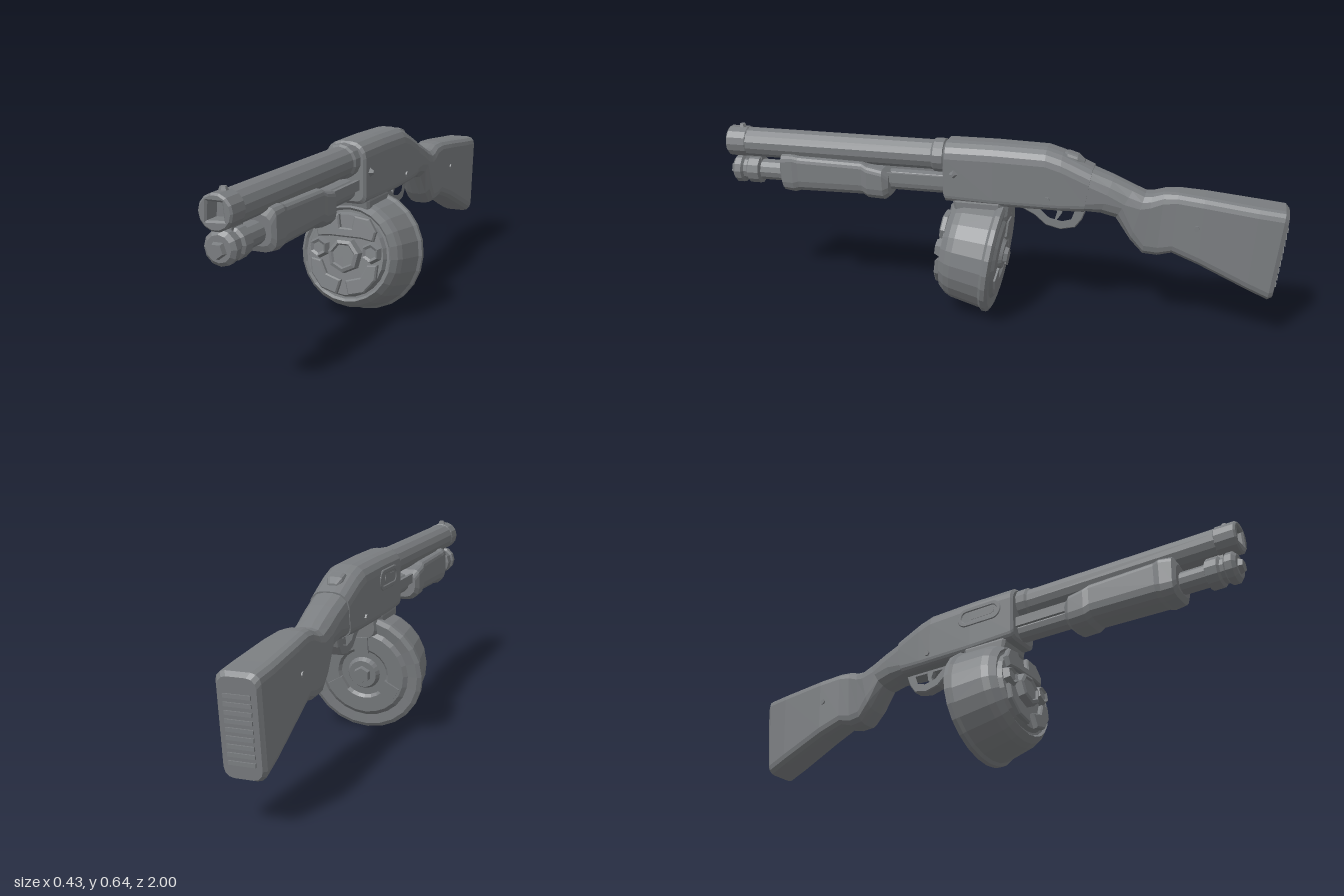
import * as THREE from 'three';

const mat = new THREE.MeshStandardMaterial({ color: 0x7a7d80, flatShading: true });

function add(parent, name, geo, x = 0, y = 0, z = 0) {
  const m = new THREE.Mesh(geo, mat);
  m.name = name;
  m.position.set(x, y, z);
  parent.add(m);
  return m;
}

// Skin of rounded-box sections, front to back: [zTop, yTop, zBottom, yBottom, halfWidth, topRadius, bottomRadius]
function loft(sections, steps = 3) {
  const pos = [], idx = [], n = 4 * (steps + 1);
  for (const [zt, yt, zb, yb, hw, rt, rb] of sections) {
    for (let c = 0; c < 4; c++) {
      const r = Math.min(c < 2 ? rt : rb, hw * 0.95, (yt - yb) * 0.48);
      const cx = (c === 0 || c === 3 ? 1 : -1) * (hw - r);
      const cy = c < 2 ? yt - r : yb + r;
      for (let k = 0; k <= steps; k++) {
        const a = (c + k / steps) * Math.PI / 2;
        const y = cy + r * Math.sin(a);
        pos.push(cx + r * Math.cos(a), y, zb + (zt - zb) * (y - yb) / (yt - yb));
      }
    }
  }
  const last = (sections.length - 1) * n;
  for (let i = 0; i < last; i += n)
    for (let j = 0; j < n; j++) {
      const a = i + j, b = i + (j + 1) % n;
      idx.push(a, a + n, b, b, a + n, b + n);
    }
  for (let j = 1; j < n - 1; j++) idx.push(0, j, j + 1, last, last + j + 1, last + j);
  const g = new THREE.BufferGeometry();
  g.setAttribute('position', new THREE.Float32BufferAttribute(pos, 3));
  g.setIndex(idx);
  g.computeVertexNormals();
  return g;
}

// Turned part along z, profile of [radius, z] from back to front
const turned = (profile, sides = 14) =>
  new THREE.LatheGeometry(profile.map(p => new THREE.Vector2(...p)), sides).rotateX(Math.PI / 2);

const toPath = (pts, Type = THREE.Shape) => new Type(pts.map(p => new THREE.Vector2(...p)));

function extrude(shape, depth, bevel = 0) {
  return new THREE.ExtrudeGeometry(shape, {
    depth, bevelEnabled: bevel > 0, bevelSize: bevel, bevelThickness: bevel, bevelSegments: 1, curveSegments: 7,
  });
}

// Plate drawn in (z, y), thickness centred on x
const sidePlate = (shape, width, bevel = 0) =>
  extrude(shape, width, bevel).translate(0, 0, -width / 2).rotateY(-Math.PI / 2);

function stadium(Type, z0, z1, y, r) {
  const s = new Type();
  s.absarc(z1 - r, y, r, -Math.PI / 2, Math.PI / 2, false);
  s.absarc(z0 + r, y, r, Math.PI / 2, Math.PI * 1.5, false);
  s.closePath();
  return s;
}

function buildDrum() {
  const drum = new THREE.Group();
  drum.name = 'drumMagazine';
  drum.position.set(0, 0.208, -0.015);
  drum.rotation.x = -0.14;
  add(drum, 'drumBody', turned([
    [0, -0.012], [0.05, -0.012], [0.06, 0.004], [0.085, 0.004], [0.095, -0.006], [0.15, -0.006], [0.165, 0.004],
    [0.2, 0], [0.215, 0.008], [0.215, 0.024], [0.206, 0.034], [0.191, 0.145], [0.182, 0.168], [0.164, 0.19],
    [0.156, 0.182], [0.148, 0.182], [0.14, 0.197], [0, 0.197]], 24));
  // Raised relief on the front face
  add(drum, 'frontHub', turned([[0.064, 0.195], [0.058, 0.222], [0.046, 0.226], [0.04, 0.219], [0, 0.219]], 7));
  add(drum, 'topRelief', extrude(toPath([
    [-0.06, 0.068], [0.06, 0.068], [0.1, 0.062], [0.107, 0.09], [0.082, 0.128], [0.034, 0.134], [0.026, 0.09],
    [-0.026, 0.09], [-0.034, 0.134], [-0.082, 0.128], [-0.107, 0.09], [-0.1, 0.062]]), 0.014, 0.005), 0, 0, 0.195);
  const half = [[0.014, -0.09], [0.026, -0.132], [0.078, -0.118], [0.116, -0.072], [0.12, -0.025],
    [0.09, -0.03], [0.068, -0.074]];
  for (const s of [-1, 1]) {
    const knob = turned([[0.042, 0.192], [0.03, 0.219], [0.02, 0.213], [0, 0.213]], 6);
    add(drum, 'sideKnob', knob, s * 0.098, 0.018, 0);
    const pts = half.map(([x, y]) => [s * x, y]);
    add(drum, 'lowerRelief', extrude(toPath(pts), 0.014, 0.005), 0, 0, 0.195);
  }
  // Hub and three short ribs on the back face
  add(drum, 'backHub', new THREE.CylinderGeometry(0.034, 0.028, 0.02, 6).rotateX(Math.PI / 2), 0, 0, -0.016);
  for (let i = 0; i < 3; i++) {
    const a = Math.PI / 2 + i * Math.PI * 2 / 3;
    add(drum, 'backRib', new THREE.BoxGeometry(0.06, 0.05, 0.016), 0.11 * Math.cos(a), 0.11 * Math.sin(a), -0.005)
      .rotation.z = a;
  }
  return drum;
}

export function createModel() {
  const model = new THREE.Group();
  model.name = 'shotgun';

  // Barrel with collar, square-bored muzzle and low bead
  add(model, 'barrel', turned([
    [0.05, 0.15], [0.05, 0.18], [0.06, 0.185], [0.06, 0.22], [0.053, 0.228], [0.053, 0.945], [0, 0.945]]), 0, 0.568, 0);
  const muzzle = new THREE.Shape().absarc(0, 0, 0.049, 0, Math.PI * 2, false);
  muzzle.holes.push(toPath([[-0.034, -0.03], [-0.03, 0.036], [0.028, 0.036], [0.034, -0.026]], THREE.Path));
  add(model, 'muzzle', extrude(muzzle, 0.066, 0.006), 0, 0.569, 0.928);
  add(model, 'frontSight', new THREE.CylinderGeometry(0.01, 0.018, 0.02, 6), 0, 0.624, 0.95);

  // Tube under the barrel with its stepped end cap
  add(model, 'magazineTube', turned([
    [0.038, 0.15], [0.038, 0.88], [0.052, 0.885], [0.052, 0.925], [0.043, 0.932], [0.043, 0.945], [0.053, 0.952],
    [0.053, 0.975], [0.04, 0.986], [0, 0.986]], 12), 0, 0.465, 0);
  add(model, 'capNut', new THREE.CylinderGeometry(0.022, 0.03, 0.02, 5).rotateX(Math.PI / 2), 0, 0.462, 0.99);
  add(model, 'barrelLug', new THREE.BoxGeometry(0.03, 0.06, 0.06), 0, 0.515, 0.91);

  // Sliding grip with shallow waist, and its action bars
  add(model, 'foregrip', loft([
    [0.795, 0.52, 0.79, 0.425, 0.055, 0.03, 0.03], [0.785, 0.543, 0.78, 0.405, 0.068, 0.025, 0.04],
    [0.74, 0.545, 0.74, 0.4, 0.073, 0.02, 0.045], [0.72, 0.54, 0.72, 0.406, 0.07, 0.02, 0.045],
    [0.48, 0.535, 0.48, 0.41, 0.07, 0.02, 0.045], [0.46, 0.525, 0.46, 0.4, 0.074, 0.02, 0.045],
    [0.405, 0.515, 0.4, 0.398, 0.074, 0.02, 0.045], [0.382, 0.495, 0.385, 0.41, 0.062, 0.02, 0.04]]));
  for (const s of [-1, 1])
    add(model, 'actionBar', new THREE.BoxGeometry(0.012, 0.035, 0.27), s * 0.046, 0.485, 0.28);

  // Receiver
  add(model, 'receiver', loft([
    [0.18, 0.622, 0.18, 0.428, 0.066, 0.05, 0.025], [0.172, 0.631, 0.172, 0.418, 0.074, 0.055, 0.025],
    [0, 0.632, 0, 0.412, 0.074, 0.055, 0.025], [-0.18, 0.628, -0.18, 0.412, 0.073, 0.055, 0.025],
    [-0.235, 0.612, -0.23, 0.412, 0.072, 0.055, 0.025], [-0.34, 0.565, -0.315, 0.412, 0.069, 0.05, 0.03]], 4));
  const port = stadium(THREE.Shape, -0.05, 0.13, 0.55, 0.034);
  port.holes.push(stadium(THREE.Path, -0.038, 0.118, 0.55, 0.023));
  add(model, 'ejectionPortRim', sidePlate(port, 0.01, 0.003), -0.069, 0, 0);
  add(model, 'bolt', sidePlate(stadium(THREE.Shape, 0.0, 0.105, 0.55, 0.014), 0.008), -0.071, 0, 0);
  add(model, 'safetyButton', loft([
    [-0.235, 0.61, -0.235, 0.58, 0.018, 0.01, 0.005], [-0.25, 0.614, -0.25, 0.58, 0.028, 0.012, 0.005],
    [-0.285, 0.604, -0.285, 0.57, 0.028, 0.012, 0.005], [-0.308, 0.586, -0.308, 0.56, 0.018, 0.01, 0.005]], 2));
  add(model, 'sidePin', new THREE.CylinderGeometry(0.006, 0.02, 0.02, 4).rotateZ(-Math.PI / 2), 0.078, 0.524, 0.14);
  for (const s of [-1, 1]) {
    add(model, 'receiverPin', new THREE.CylinderGeometry(0.011, 0.011, 0.012, 6).rotateZ(Math.PI / 2),
      s * 0.073, 0.455, -0.19);
    add(model, 'stockScrew', new THREE.CylinderGeometry(0.01, 0.01, 0.01, 6).rotateZ(Math.PI / 2),
      s * 0.063, 0.39, -0.7);
  }

  // Trigger and its guard
  const guard = toPath([[-0.04, 0.42], [-0.1, 0.4], [-0.14, 0.38], [-0.18, 0.346], [-0.23, 0.334],
    [-0.28, 0.345], [-0.302, 0.375], [-0.32, 0.42]]);
  guard.holes.push(toPath([[-0.155, 0.403], [-0.19, 0.372], [-0.235, 0.362], [-0.268, 0.372],
    [-0.28, 0.404]], THREE.Path));
  add(model, 'triggerGuard', sidePlate(guard, 0.036, 0.004));
  add(model, 'trigger', sidePlate(toPath([[-0.205, 0.42], [-0.235, 0.42], [-0.232, 0.385], [-0.215, 0.36],
    [-0.208, 0.362], [-0.216, 0.39]]), 0.018));

  // Stock with curved wrist
  add(model, 'stock', loft([
    [-0.325, 0.566, -0.3, 0.415, 0.067, 0.05, 0.03], [-0.41, 0.535, -0.37, 0.405, 0.064, 0.05, 0.05],
    [-0.48, 0.505, -0.42, 0.392, 0.062, 0.05, 0.05], [-0.52, 0.487, -0.475, 0.315, 0.061, 0.045, 0.045],
    [-0.545, 0.488, -0.52, 0.27, 0.058, 0.04, 0.04], [-0.585, 0.5, -0.57, 0.266, 0.055, 0.035, 0.04],
    [-0.63, 0.502, -0.62, 0.282, 0.057, 0.03, 0.035], [-0.72, 0.495, -0.71, 0.25, 0.064, 0.03, 0.035],
    [-0.9, 0.476, -0.88, 0.175, 0.07, 0.03, 0.035], [-0.985, 0.468, -0.95, 0.145, 0.069, 0.03, 0.035],
    [-0.998, 0.455, -0.966, 0.152, 0.06, 0.03, 0.03]]));
  // Ridges across the butt
  for (let i = 0; i < 9; i++) {
    const y = 0.2 + i * 0.025;
    add(model, 'buttRidge', new THREE.BoxGeometry(0.085, 0.012, 0.014), 0, y, -0.965 - (y - 0.152) * 0.105);
  }

  // Drum and the neck that holds it
  add(model, 'drumNeck', loft([
    [0.15, 0.44, 0.135, 0.37, 0.062, 0.02, 0.03], [0.14, 0.44, 0.12, 0.35, 0.07, 0.02, 0.03],
    [-0.02, 0.44, -0.01, 0.33, 0.072, 0.02, 0.03], [-0.055, 0.44, -0.042, 0.345, 0.05, 0.02, 0.03]]));
  model.add(buildDrum());
  return model;
}
